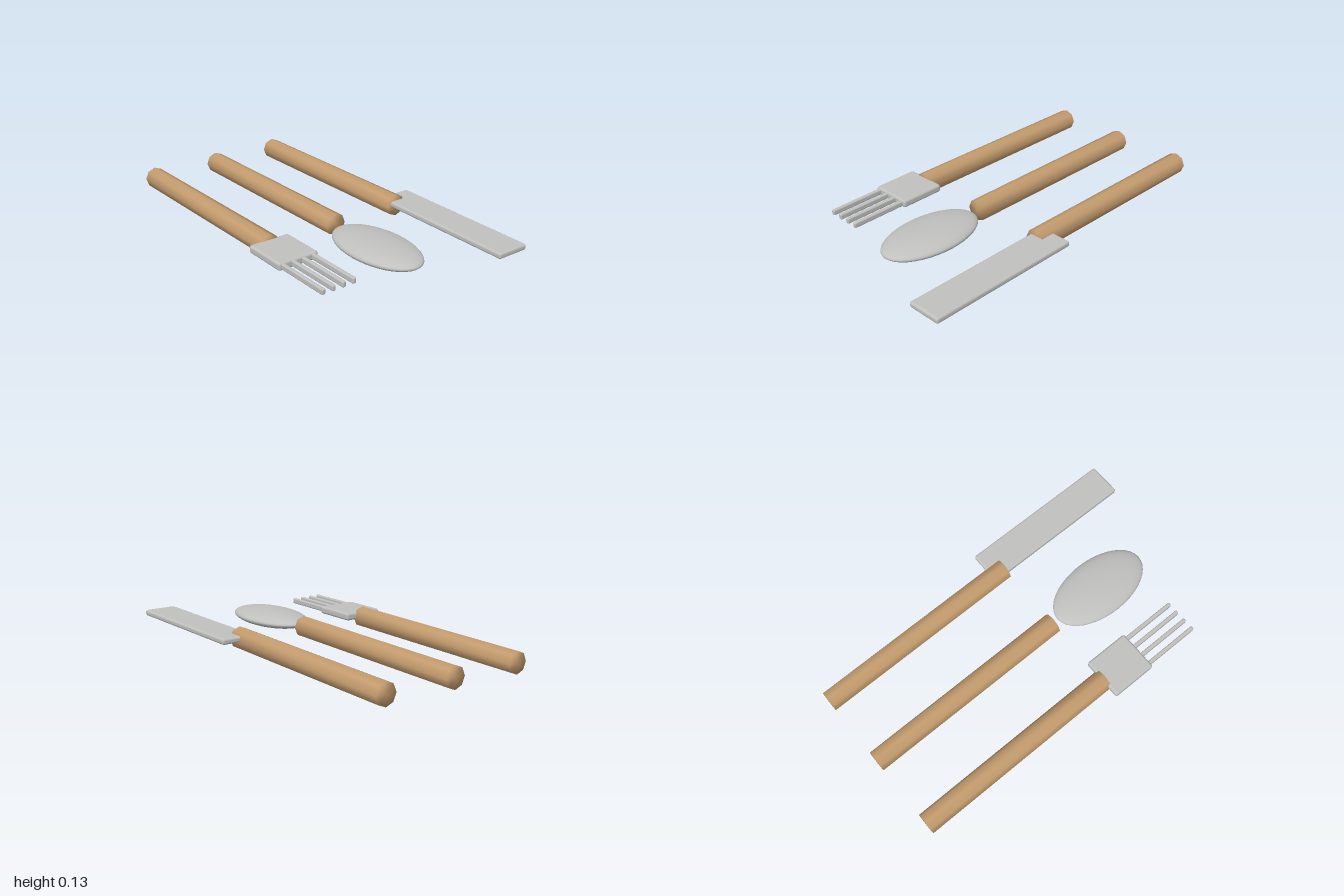
import * as THREE from 'three';
import { mergeVertices } from 'three/addons/utils/BufferGeometryUtils.js';
import { RoundedBoxGeometry } from 'three/addons/geometries/RoundedBoxGeometry.js';

const wood = new THREE.MeshStandardMaterial({ color: 0xc49c6e });
wood.name = 'wood';
const steel = new THREE.MeshStandardMaterial({ color: 0xc0c0be });
steel.name = 'steel';

function part(name, geometry, material, x, y, z) {
  const mesh = new THREE.Mesh(geometry, material);
  mesh.name = name;
  mesh.position.set(x, y, z);
  return mesh;
}

// Softly rounded metal slab given by its limits on each axis
function slab(name, [x0, x1], [y0, y1], [z0, z1], radius) {
  const geometry = new RoundedBoxGeometry(x1 - x0, y1 - y0, z1 - z0, 3, radius);
  return part(name, geometry, steel, (x0 + x1) / 2, (y0 + y1) / 2, (z0 + z1) / 2);
}

// Eight-sided rod lying along z, rising slightly to the front,
// with normals smoothed over sides and ends
function handleGeometry() {
  let geometry = new THREE.CylinderGeometry(0.06, 0.06, 1.2, 8, 1);
  geometry.rotateX(Math.PI / 2);
  geometry.deleteAttribute('normal');
  geometry.deleteAttribute('uv');
  geometry = mergeVertices(geometry, 1e-4);
  const p = geometry.attributes.position;
  for (let i = 0; i < p.count; i++) p.setY(i, p.getY(i) + p.getZ(i) * 0.011);
  geometry.computeVertexNormals();
  return geometry;
}

export function createModel() {
  const model = new THREE.Group();
  model.name = 'cutlerySet';
  const handle = handleGeometry();

  // Fork: handle, flat palm and four tines
  const fork = new THREE.Group();
  fork.name = 'fork';
  fork.add(part('forkHandle', handle, wood, -0.44, 0.068, -0.4));
  fork.add(slab('forkPalm', [-0.557, -0.321], [0.064, 0.108], [0.185, 0.445], 0.014));
  for (let i = 0; i < 4; i++) {
    const x = -0.53 + i * 0.06;
    fork.add(slab('forkTine', [x - 0.011, x + 0.011], [0.07, 0.102], [0.42, 0.76], 0.008));
  }

  // Spoon: handle and flattened oval bowl
  const spoon = new THREE.Group();
  spoon.name = 'spoon';
  spoon.add(part('spoonHandle', handle, wood, -0.02, 0.068, -0.4));
  const bowl = new THREE.SphereGeometry(1, 40, 24);
  bowl.scale(0.166, 0.046, 0.297);
  spoon.add(part('spoonBowl', bowl, steel, -0.02, 0.073, 0.53));

  // Knife: handle and offset straight blade
  const knife = new THREE.Group();
  knife.name = 'knife';
  knife.add(part('knifeHandle', handle, wood, 0.4, 0.068, -0.4));
  knife.add(slab('knifeBlade', [0.365, 0.555], [0.07, 0.103], [0.113, 1], 0.012));

  model.add(fork, spoon, knife);
  return model;
}
